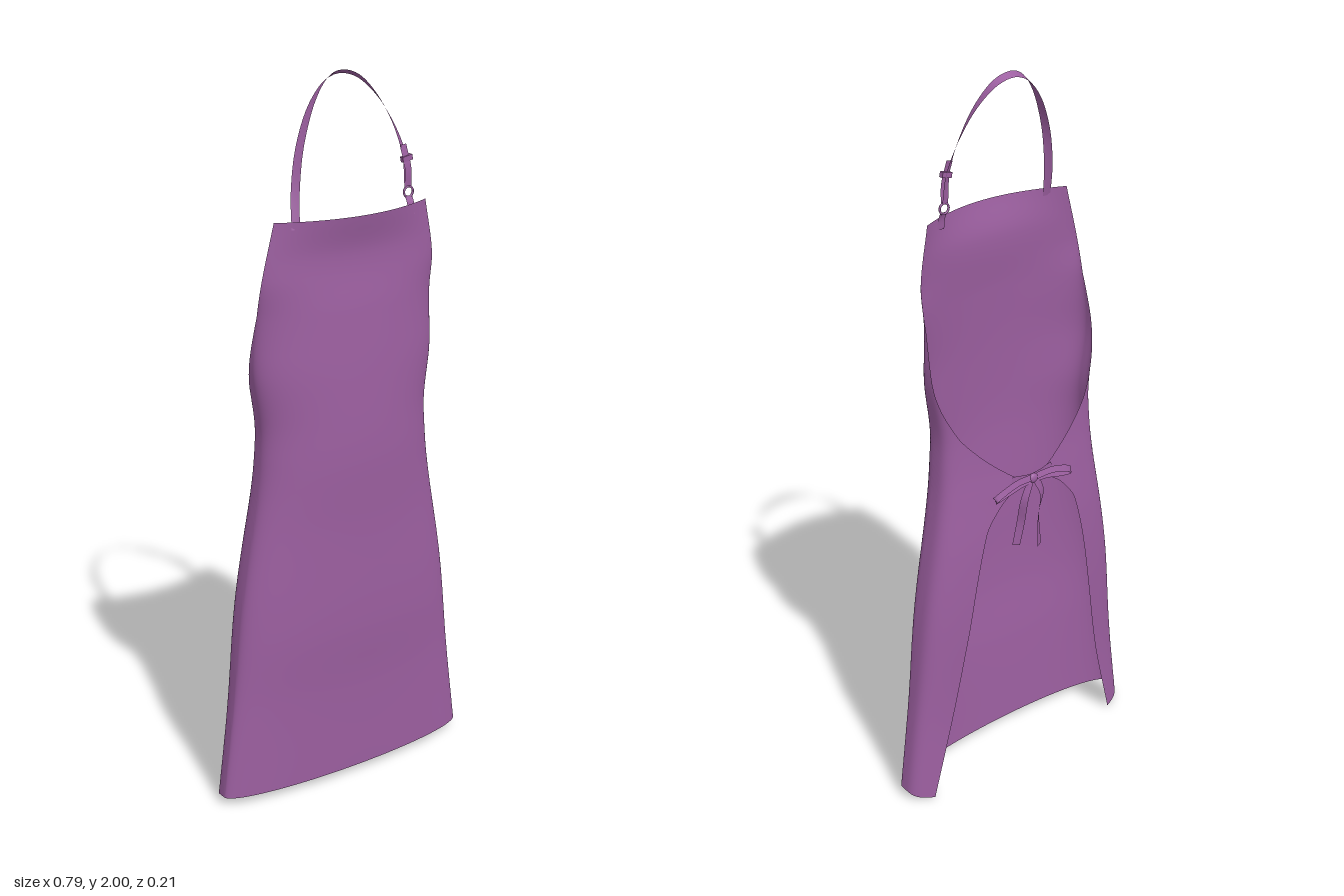
import * as THREE from 'three';

const cloth = new THREE.MeshStandardMaterial({ color: 0x9c5fa0, side: THREE.DoubleSide });

// Smooth value at y from a list of [y, value] pairs in falling y
function profile(keys) {
  const slope = (i) => {
    const a = keys[Math.max(i - 1, 0)], b = keys[Math.min(i + 1, keys.length - 1)];
    return (b[1] - a[1]) / (b[0] - a[0]);
  };
  return (y) => {
    let i = 0;
    while (i < keys.length - 2 && y < keys[i + 1][0]) i++;
    const [y0, v0] = keys[i], [y1, v1] = keys[i + 1], h = y1 - y0;
    const s = THREE.MathUtils.clamp((y - y0) / h, 0, 1), s2 = s * s, s3 = s2 * s;
    return (2 * s3 - 3 * s2 + 1) * v0 + (s3 - 2 * s2 + s) * h * slope(i)
      + (3 * s2 - 2 * s3) * v1 + (s3 - s2) * h * slope(i + 1);
  };
}

// Surface from a rule: point(u, v) with u down the rows and v along them
function sheet(name, rows, cols, point) {
  const pos = [], index = [];
  for (let i = 0; i <= rows; i++) {
    for (let j = 0; j <= cols; j++) {
      pos.push(...point(i / rows, j / cols));
      if (i < rows && j < cols) {
        const a = i * (cols + 1) + j, b = a + cols + 1;
        index.push(a, b, b + 1, a, b + 1, a + 1);
      }
    }
  }
  const geo = new THREE.BufferGeometry();
  geo.setAttribute('position', new THREE.Float32BufferAttribute(pos, 3));
  geo.setIndex(index);
  geo.computeVertexNormals();
  const mesh = new THREE.Mesh(geo, cloth);
  mesh.name = name;
  return mesh;
}

// Flat band along a curve; its width direction blends through the given vectors
function ribbon(name, points, width, across, steps = 40) {
  const curve = new THREE.CatmullRomCurve3(points.map((p) => new THREE.Vector3(...p)));
  const dirs = across.map((d) => new THREE.Vector3(...d));
  return sheet(name, steps, 2, (u, v) => {
    const k = u * (dirs.length - 1), i = Math.min(Math.floor(k), Math.max(dirs.length - 2, 0));
    const dir = dirs[i].clone().lerp(dirs[Math.min(i + 1, dirs.length - 1)], k - i);
    const t = curve.getTangentAt(u);
    dir.addScaledVector(t, -dir.dot(t)).normalize();
    return curve.getPointAt(u).addScaledVector(dir, (v - 0.5) * width).toArray();
  });
}

// Cross-section rules of the cloth by height
const halfWidth = profile([[1.65, 0.23], [1.5, 0.262], [1.4, 0.267], [1.25, 0.274], [1.1, 0.256],
  [1, 0.26], [0.9, 0.272], [0.6, 0.325], [0.3, 0.36], [0.03, 0.396]]);
const frontZ = profile([[1.65, 0.098], [1.55, 0.08], [1.4, 0.09], [1.2, 0.1], [1, 0.104],
  [0.8, 0.096], [0.5, 0.09], [0.3, 0.076], [0.03, 0.066]]);
const sideZ = profile([[1.65, 0.04], [1.5, 0.03], [1.4, 0.01], [1.3, 0], [1, 0], [0.03, 0]]);
const backZ = profile([[1.65, -0.07], [1.2, -0.08], [1, -0.087], [0.9, -0.095], [0.75, -0.105],
  [0.55, -0.105], [0.25, -0.092], [0.03, -0.094]]);
const bulge = profile([[1.65, 2], [1.4, 1.2], [1.1, 1], [0.03, 1]]);
const wrap = profile([[1.65, 90], [1.4, 90], [1.3, 92], [1.2, 100], [1.1, 120], [1.05, 135], [1, 150],
  [0.95, 165], [0.93, 171], [0.91, 168], [0.87, 157], [0.8, 147], [0.5, 139], [0.25, 132], [0.03, 123]]);

function clothPoint(u, v) {
  const y = 1.65 - 1.62 * u;
  const t = (v * 2 - 1) * THREE.MathUtils.degToRad(wrap(y));
  const c = Math.cos(t), zs = sideZ(y), x = halfWidth(y) * Math.sin(t);
  if (c > 0) return [x, y, zs + (frontZ(y) - zs) * c ** bulge(y)];
  // back flaps, whose hem hangs a little lower
  return [x, y + 0.05 * c * u ** 6, zs + (backZ(y) - zs) * Math.sqrt(-c)];
}

export function createModel() {
  const model = new THREE.Group();
  model.name = 'apron';
  model.add(sheet('apronCloth', 140, 88, clothPoint));

  // Neck loop, twisting as it goes round the neck
  model.add(ribbon('neckStrap', [[-0.18, 1.63, 0.062], [-0.17, 1.72, 0.045], [-0.147, 1.83, 0.032],
    [-0.1, 1.93, 0.016], [-0.05, 1.98, 0.003], [-0.01, 1.993, 0], [0.04, 1.98, 0.003], [0.09, 1.93, 0.016],
    [0.135, 1.85, 0.03], [0.16, 1.77, 0.042], [0.168, 1.69, 0.046]], 0.022,
  [[1, 0, 0.2], [0.5, 0, 0.8], [0, 0.6, 0.8], [-0.5, 0, 0.8], [-1, 0, 0.2]], 64));

  // Adjuster: folded strap end, slider, ring and tab
  const adjuster = new THREE.Group();
  adjuster.name = 'strapAdjuster';
  adjuster.add(ribbon('foldedEnd', [[0.168, 1.69, 0.05], [0.165, 1.74, 0.052], [0.155, 1.8, 0.042]],
    0.02, [[1, 0, 0]], 10));
  const slider = new THREE.Mesh(new THREE.BoxGeometry(0.03, 0.014, 0.012), cloth);
  slider.name = 'slider';
  slider.position.set(0.164, 1.765, 0.046);
  slider.rotation.z = 0.2;
  const ring = new THREE.Mesh(new THREE.TorusGeometry(0.014, 0.003, 8, 24), cloth);
  ring.name = 'ring';
  ring.position.set(0.169, 1.678, 0.049);
  adjuster.add(slider, ring);
  adjuster.add(ribbon('ringTab', [[0.169, 1.668, 0.05], [0.17, 1.65, 0.058], [0.171, 1.62, 0.062]],
    0.022, [[1, 0, 0]], 8));
  model.add(adjuster);

  // Waist tie with bow at the back
  const tie = new THREE.Group();
  tie.name = 'waistTie';
  tie.add(ribbon('waistString', [[0.07, 0.935, -0.093], [0, 0.925, -0.096], [-0.07, 0.935, -0.093]],
    0.022, [[0, 1, 0]], 12));
  const knot = new THREE.Mesh(new THREE.SphereGeometry(0.014, 16, 10), cloth);
  knot.name = 'knot';
  knot.scale.set(1.1, 1, 0.6);
  knot.position.set(0, 0.922, -0.098);
  tie.add(knot);
  for (const s of [1, -1]) {
    tie.add(ribbon('bowLoop', [[0, 0.925, -0.1], [s * 0.06, 0.93, -0.107], [s * 0.115, 0.915, -0.107],
      [s * 0.135, 0.9, -0.101], [s * 0.11, 0.9, -0.097], [s * 0.05, 0.915, -0.099], [0, 0.92, -0.1]],
    0.018, [[0, 1, 0.3]]));
    tie.add(ribbon('tieEnd', [[s * 0.008, 0.92, -0.1], [s * 0.03, 0.87, -0.1],
      [s * 0.032, 0.79, -0.085], [s * 0.042, s > 0 ? 0.72 : 0.69, -0.078]], 0.022,
    [[1, 0, 0], [0.7, 0, s * 0.7], [0.9, 0, s * 0.4]], 24));
  }
  model.add(tie);
  return model;
}
